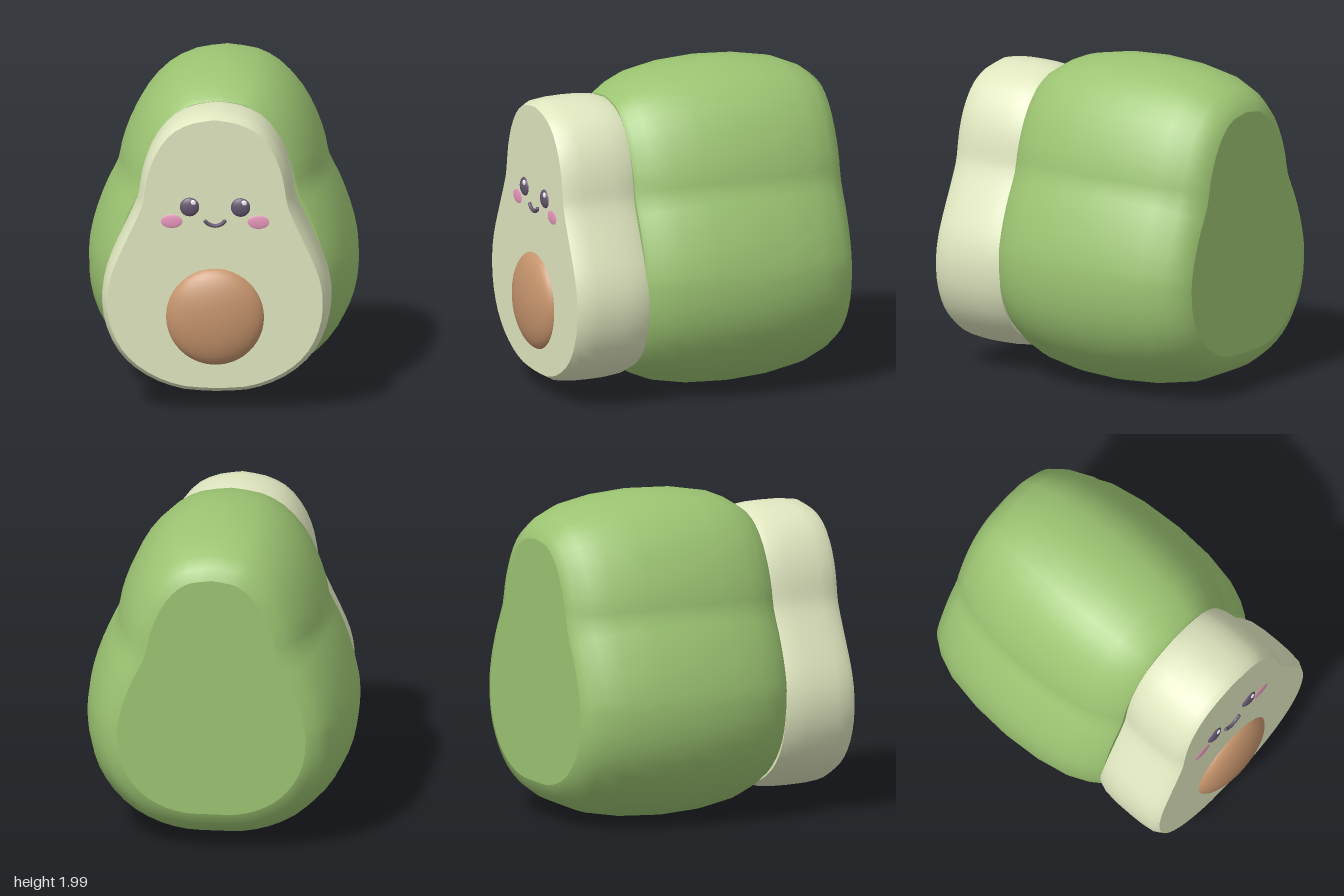
import * as THREE from 'three';

const paint = (color) => new THREE.MeshStandardMaterial({ color });

function addMesh(parent, name, geometry, material) {
  const mesh = new THREE.Mesh(geometry, material);
  mesh.name = name;
  parent.add(mesh);
  return mesh;
}

// Closed pear outline, clockwise from the top, from its right half
function pearOutline(half, samples) {
  const curve = new THREE.CatmullRomCurve3(half.map(([x, y]) => new THREE.Vector3(x, y, 0)));
  const right = curve.getPoints(samples).map((p) => new THREE.Vector2(p.x, p.y));
  const left = right.slice(1, -1).reverse().map((p) => new THREE.Vector2(-p.x, p.y));
  return [...right, ...left];
}

// Move every outline point inward along its normal
function insetOutline(outline, d) {
  const n = outline.length;
  return outline.map((p, i) => {
    const t = outline[(i + 1) % n].clone().sub(outline[(i + n - 1) % n]).normalize();
    return new THREE.Vector2(p.x + t.y * d, p.y - t.x * d);
  });
}

// Solid through inset copies of an outline; sections are [z, inset] from back to front
function pillow(outline, sections) {
  const n = outline.length;
  const positions = [];
  const index = [];
  const rings = sections.map(([z, d]) => insetOutline(outline, d).map((p) => [p.x, p.y, z]));
  rings.forEach((ring) => ring.forEach((p) => positions.push(...p)));
  for (let j = 0; j < rings.length - 1; j++) {
    for (let i = 0; i < n; i++) {
      const a = j * n + i;
      const b = j * n + ((i + 1) % n);
      index.push(a, a + n, b, b, a + n, b + n);
    }
  }
  // Flat ends with their own vertices, so the rim stays crisp
  [rings[0], rings[rings.length - 1]].forEach((ring, end) => {
    const start = positions.length / 3;
    positions.push(0, 0.8, ring[0][2]);
    ring.forEach((p) => positions.push(...p));
    for (let i = 0; i < n; i++) {
      const a = start + 1 + i;
      const b = start + 1 + ((i + 1) % n);
      if (end === 0) index.push(start, a, b);
      else index.push(start, b, a);
    }
  });
  const geometry = new THREE.BufferGeometry();
  geometry.setAttribute('position', new THREE.Float32BufferAttribute(positions, 3));
  geometry.setIndex(index);
  geometry.computeVertexNormals();
  return geometry;
}

function addEllipsoid(parent, name, material, [x, y, z], [rx, ry, rz]) {
  const mesh = addMesh(parent, name, new THREE.SphereGeometry(1, 40, 24), material);
  mesh.position.set(x, y, z);
  mesh.scale.set(rx, ry, rz);
  return mesh;
}

export function createModel() {
  const model = new THREE.Group();
  model.name = 'avocado';

  // Green skin
  const skinHalf = [
    [0, 2], [0.2, 1.97], [0.35, 1.89], [0.48, 1.75], [0.57, 1.58], [0.62, 1.43], [0.64, 1.33],
    [0.7, 1.21], [0.77, 1.03], [0.81, 0.87], [0.82, 0.76], [0.81, 0.6], [0.76, 0.43],
    [0.66, 0.27], [0.52, 0.14], [0.35, 0.055], [0.18, 0.015], [0, 0.01],
  ];
  const skinSections = [
    [-0.97, 0.245], [-0.94, 0.175], [-0.86, 0.115], [-0.72, 0.055], [-0.5, 0.015], [-0.25, 0],
    [0, 0.013], [0.2, 0.05], [0.32, 0.1], [0.39, 0.145], [0.415, 0.17],
  ];
  addMesh(model, 'skin', pillow(pearOutline(skinHalf, 34), skinSections), paint(0x9cc472));

  // Pale flesh slab
  const fleshHalf = [
    [0, 1.85], [0.15, 1.825], [0.28, 1.76], [0.38, 1.64], [0.44, 1.5], [0.465, 1.38], [0.48, 1.29],
    [0.53, 1.17], [0.61, 1.0], [0.67, 0.85], [0.695, 0.7], [0.68, 0.54], [0.62, 0.39],
    [0.52, 0.27], [0.37, 0.175], [0.2, 0.12], [0, 0.107],
  ];
  const fleshSections = [
    [0.4, 0.035], [0.46, 0.012], [0.55, 0.002], [0.65, 0], [0.75, 0.002], [0.83, 0.012], [0.878, 0.04],
  ];
  addMesh(model, 'flesh', pillow(pearOutline(fleshHalf, 34), fleshSections), paint(0xdfe6bf));

  // Stone
  addEllipsoid(model, 'stone', paint(0xc6946c), [0, 0.59, 0.86], [0.302, 0.302, 0.11]);

  // Face
  const face = new THREE.Group();
  face.name = 'face';
  model.add(face);
  const dark = paint(0x65566f);
  const white = paint(0xf0eef2);
  const pink = paint(0xe897bd);
  for (const [side, s] of [['left', 1], ['right', -1]]) {
    addEllipsoid(face, side + 'Eye', dark, [s * 0.155, 1.27, 0.876], [0.059, 0.058, 0.024]);
    addEllipsoid(face, side + 'EyeHighlight', white, [s * 0.155 + 0.022, 1.298, 0.891], [0.018, 0.018, 0.008]);
    addEllipsoid(face, side + 'Cheek', pink, [s * 0.264, 1.18, 0.876], [0.068, 0.043, 0.008]);
  }

  // Smile
  const smileArc = Math.PI * 0.56;
  const smile = addMesh(face, 'smile', new THREE.TorusGeometry(0.075, 0.012, 10, 20, smileArc), dark);
  smile.rotation.z = -Math.PI / 2 - smileArc / 2;
  smile.position.set(0, 1.231, 0.885);
  for (const s of [-1, 1]) {
    const a = -Math.PI / 2 + (s * smileArc) / 2;
    const tip = [0.075 * Math.cos(a), 1.231 + 0.075 * Math.sin(a), 0.885];
    addEllipsoid(face, 'smileTip', dark, tip, [0.012, 0.012, 0.012]);
  }

  return model;
}
